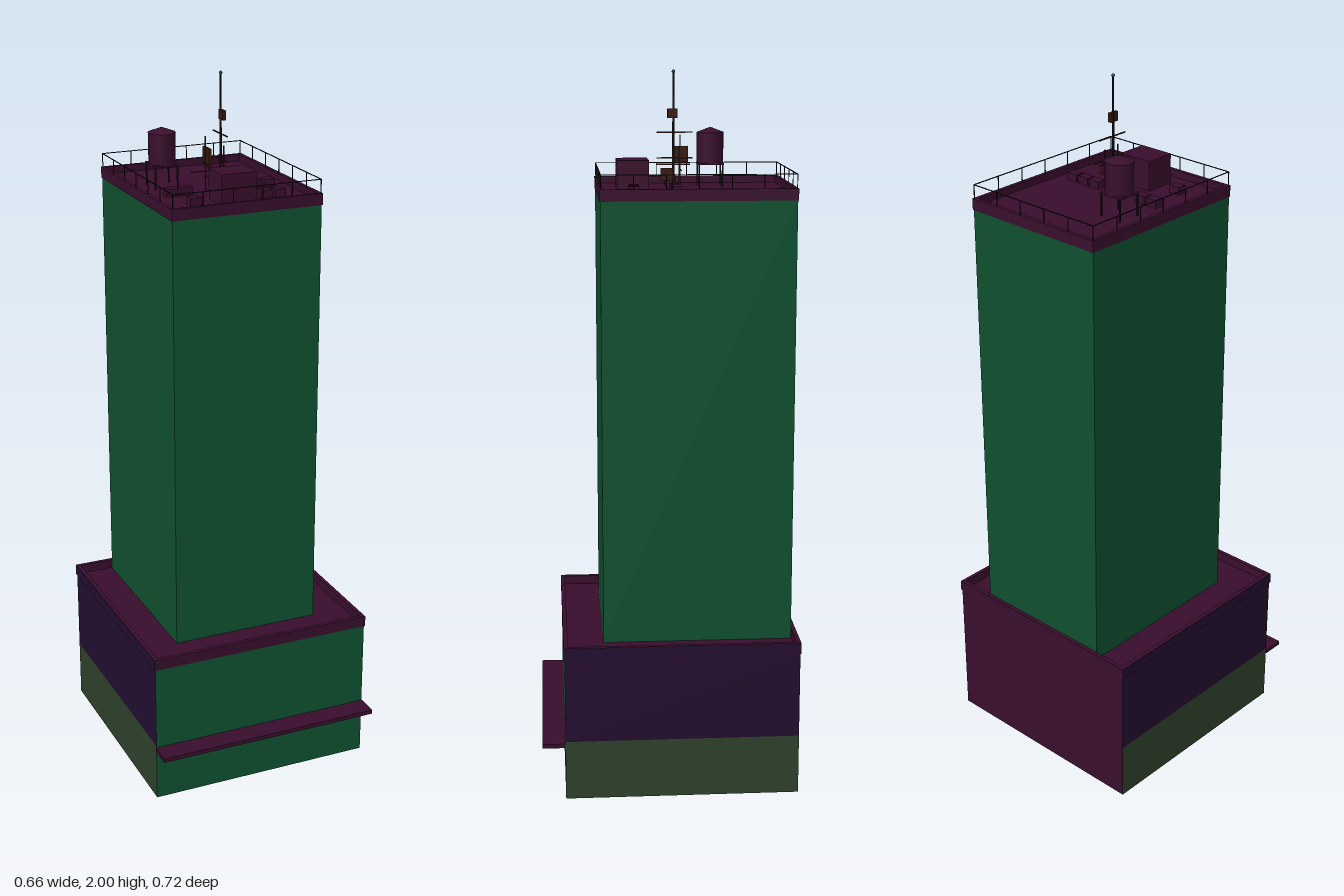
import * as THREE from 'three';

const mat = (name, color, side = THREE.FrontSide) => {
  const m = new THREE.MeshStandardMaterial({ color, side });
  m.name = name;
  return m;
};

export function createModel() {
  const model = new THREE.Group();
  model.name = 'towerBlock';
  const green = mat('green', 0x0f5130, THREE.DoubleSide);
  const plum = mat('plum', 0x390e2d, THREE.DoubleSide);
  const violet = mat('violet', 0x240e30, THREE.DoubleSide);
  const sage = mat('sage', 0x2e412c, THREE.DoubleSide);
  const brown = mat('brown', 0x3a190f);
  const black = mat('black', 0x15100f);

  const group = (name, parent = model) => {
    const g = new THREE.Group();
    g.name = name;
    parent.add(g);
    return g;
  };
  const add = (parent, name, geo, material, x = 0, y = 0, z = 0) => {
    const m = new THREE.Mesh(geo, material);
    m.name = name;
    m.position.set(x, y, z);
    parent.add(m);
    return m;
  };
  const box = (parent, name, material, w, h, d, x, y, z) =>
    add(parent, name, new THREE.BoxGeometry(w, h, d), material, x, y, z);
  // Upright or flat sheet
  const sheet = (parent, name, material, w, h, x, y, z, rx, ry) => {
    const m = add(parent, name, new THREE.PlaneGeometry(w, h), material, x, y, z);
    m.rotation.set(rx, ry, 0);
    return m;
  };
  // Rectangular ring standing on y
  const parapet = (parent, w, d, t, h, y, z) => {
    const rect = (Type, a, b) => new Type([
      new THREE.Vector2(-a, -b), new THREE.Vector2(a, -b),
      new THREE.Vector2(a, b), new THREE.Vector2(-a, b)]);
    const shape = rect(THREE.Shape, w / 2, d / 2);
    shape.holes.push(rect(THREE.Path, w / 2 - t, d / 2 - t));
    const geo = new THREE.ExtrudeGeometry(shape, { depth: h, bevelEnabled: false });
    geo.rotateX(-Math.PI / 2);
    add(parent, 'parapet', geo, plum, 0, y, z);
  };

  // Podium: open underneath, banded side walls
  const podium = group('podium');
  const PW = 0.656, PZ = -0.03, split = 0.17, wallTop = 0.415;
  sheet(podium, 'frontWall', green, PW, wallTop, 0, wallTop / 2, PZ + 0.328, 0, 0);
  sheet(podium, 'backWall', plum, PW, wallTop, 0, wallTop / 2, PZ - 0.328, 0, Math.PI);
  for (const s of [-1, 1]) {
    sheet(podium, 'sideLowerWall', sage, PW, split, s * 0.328, split / 2, PZ, 0, s * Math.PI / 2);
    sheet(podium, 'sideUpperWall', violet, PW, wallTop - split, s * 0.328, (wallTop + split) / 2, PZ, 0, s * Math.PI / 2);
    box(podium, 'sideParapetFacing', violet, 0.002, 0.03, 0.66, s * 0.33, 0.43, PZ);
  }
  sheet(podium, 'podiumRoof', plum, PW, PW, 0, 0.42, PZ, -Math.PI / 2, 0);
  parapet(podium, 0.66, 0.66, 0.012, 0.032, 0.414, PZ);
  box(podium, 'canopy', plum, 0.66, 0.012, 0.064, 0, 0.159, 0.33);

  // Tower shaft
  const tower = group('tower');
  const TZ = -0.08, TW = 0.434, TD = 0.532, deck = 1.672;
  box(tower, 'shaft', green, TW, 1.24, TD, 0, 1.04, TZ);
  sheet(tower, 'roofDeck', plum, TW, TD, 0, deck, TZ, -Math.PI / 2, 0);
  parapet(tower, TW + 0.004, TD + 0.004, 0.011, 0.032, 1.66, TZ);

  // Railing around the roof edge
  const railing = group('railing');
  const rx = 0.215, rz = 0.264, r = 0.0022, railY = 1.73;
  const post = (x, z) => box(railing, 'railPost', black, r, 0.04, r, x, 1.71, z);
  for (const s of [-1, 1]) {
    box(railing, 'topRail', black, 2 * rx, r, r, 0, railY, TZ + s * rz);
    box(railing, 'topRail', black, r, r, 2 * rz, s * rx, railY, TZ);
    for (let i = 0; i <= 5; i++) post(-rx + 2 * rx * i / 5, TZ + s * rz);
    for (let i = 1; i < 6; i++) post(s * rx, TZ - rz + 2 * rz * i / 6);
  }

  // Rooftop plant room and cooling units
  const plant = group('rooftopPlant');
  box(plant, 'plantRoom', plum, 0.103, 0.085, 0.088, -0.002, deck + 0.0415, 0.089);
  const units = [[-0.135, -0.025], [-0.094, -0.025], [0.073, -0.025], [0.113, -0.025],
    [0.154, -0.025], [-0.115, 0.09], [0.092, 0.09], [0.133, 0.09]];
  for (const [x, z] of units) box(plant, 'coolingUnit', plum, 0.034, 0.022, 0.027, x, deck + 0.011, z);

  // Water tank on a legged stand
  const tank = group('waterTank');
  tank.position.set(-0.115, 0, -0.139);
  box(tank, 'standPlatform', plum, 0.073, 0.005, 0.073, 0, 1.735, 0);
  for (const x of [-1, 1]) for (const z of [-1, 1])
    box(tank, 'standLeg', black, 0.004, 0.062, 0.004, x * 0.033, 1.703, z * 0.033);
  const tankMaterial = plum;
  add(tank, 'tankBody', new THREE.CylinderGeometry(0.038, 0.038, 0.086, 12), tankMaterial, 0, 1.78, 0);
  add(tank, 'tankLid', new THREE.ConeGeometry(0.04, 0.015, 12), tankMaterial, 0, 1.83, 0);

  // Antenna mast with crossbars, panels and whips
  const antenna = group('antenna');
  const ax = 0.012, az = -0.025;
  add(antenna, 'mast', new THREE.CylinderGeometry(0.0025, 0.004, 0.325, 6), black, ax, 1.833, az);
  add(antenna, 'mastTip', new THREE.SphereGeometry(0.005, 8, 6), green, ax, 1.995, az);
  for (const y of [1.76, 1.83])
    box(antenna, 'crossbar', brown, 0.003, 0.003, 0.1, ax, y, az - 0.003);
  box(antenna, 'lowerCrossbar', brown, 0.1, 0.004, 0.004, ax, 1.715, az);
  box(antenna, 'sideCrossbar', brown, 0.004, 0.004, 0.095, -0.02, 1.74, az - 0.002);
  box(antenna, 'rearBar', black, 0.085, 0.002, 0.002, -0.023, 1.725, -0.048);
  box(antenna, 'sideBar', black, 0.002, 0.002, 0.042, 0.03, 1.76, -0.056);
  box(antenna, 'upperPanel', brown, 0.01, 0.026, 0.028, ax + 0.003, 1.882, az + 0.003);
  box(antenna, 'middlePanel', brown, 0.007, 0.045, 0.045, -0.019, 1.768, -0.046);
  box(antenna, 'lowerPanel', brown, 0.008, 0.034, 0.034, ax + 0.004, 1.715, -0.006);
  box(antenna, 'whip', brown, 0.003, 0.15, 0.003, -0.024, 1.747, -0.046);
  box(antenna, 'whip', brown, 0.003, 0.12, 0.003, 0.028, 1.732, -0.04);

  return model;
}
